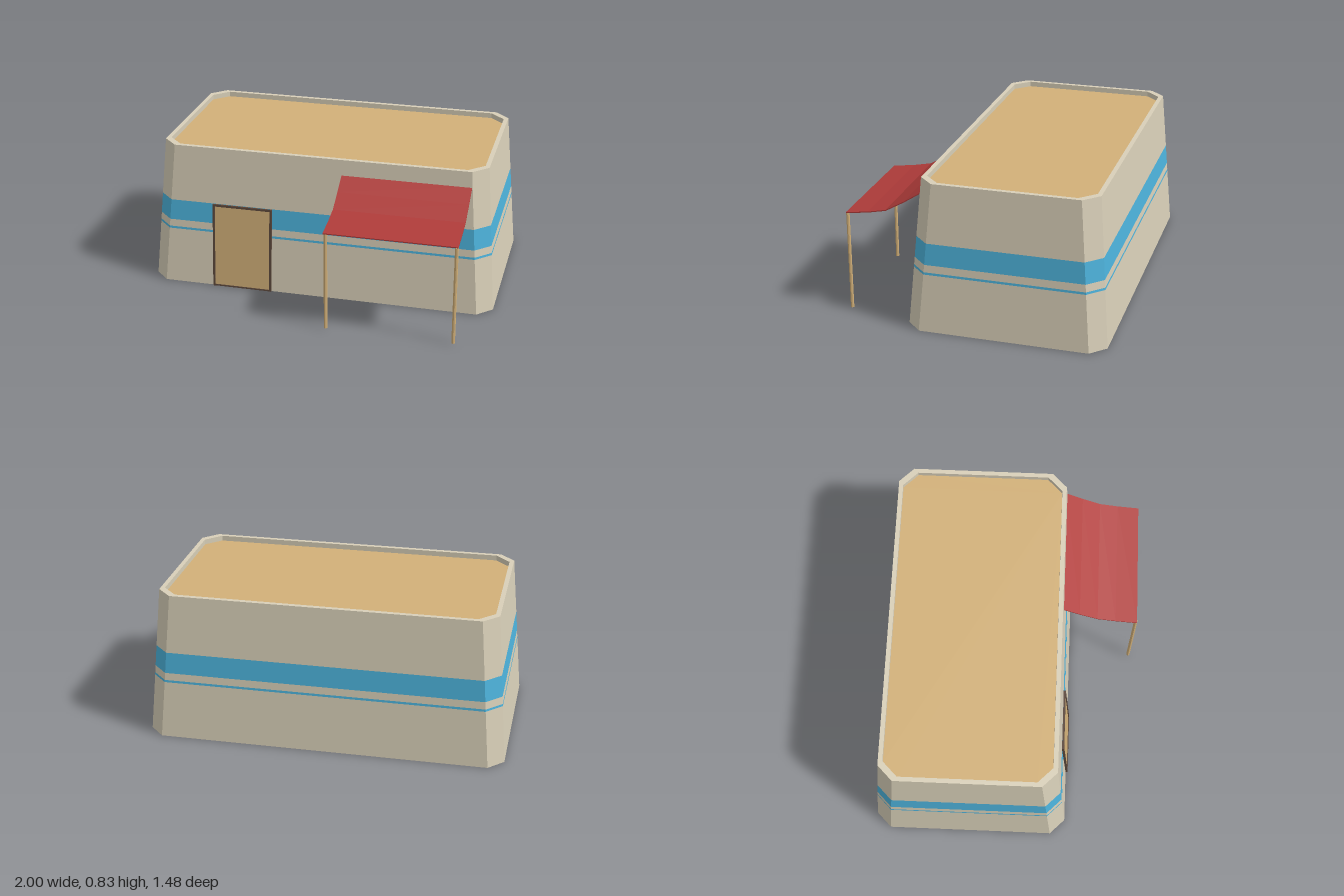
import * as THREE from 'three';

const mat = (name, color) => {
  const m = new THREE.MeshStandardMaterial({ color });
  m.name = name;
  return m;
};

const HEIGHT = 0.83, TAPER = 0.066, CHAMFER = 0.083;
const HALF_X = 1, FRONT = 0.366, BACK = -0.738;

// Eight-sided chamfered outline of the building at height y, optionally inset
function ring(y, inset = 0, wallY = y) {
  const s = (TAPER * wallY) / HEIGHT + inset;
  const x = HALF_X - s, f = FRONT - s, b = BACK + s, c = CHAMFER;
  return [
    [x - c, f], [x, f - c], [x, b + c], [x - c, b],
    [-x + c, b], [-x, b + c], [-x, f - c], [-x + c, f],
  ].map(([px, pz]) => [px, y, pz]);
}

// Flat-faced surface through successive rings, with optional end caps
function loft(rings, capStart = false, capEnd = false) {
  const pos = [];
  const tri = (a, b, c) => pos.push(...a, ...b, ...c);
  for (let r = 0; r < rings.length - 1; r++) {
    const lo = rings[r], hi = rings[r + 1], n = lo.length;
    for (let i = 0; i < n; i++) {
      const j = (i + 1) % n;
      tri(lo[i], lo[j], hi[j]);
      tri(lo[i], hi[j], hi[i]);
    }
  }
  const first = rings[0], last = rings[rings.length - 1];
  for (let i = 1; i < first.length - 1; i++) {
    if (capStart) tri(first[0], first[i + 1], first[i]);
    if (capEnd) tri(last[0], last[i], last[i + 1]);
  }
  const g = new THREE.BufferGeometry();
  g.setAttribute('position', new THREE.Float32BufferAttribute(pos, 3));
  g.computeVertexNormals();
  return g;
}

export function createModel() {
  const wall = mat('plaster', 0xd8cfb8);
  const blue = mat('bluePaint', 0x4db3dc);
  const tan = mat('tanWood', 0xd2b078);
  const red = mat('redCloth', 0xb03c3a);
  const dark = mat('darkWood', 0x5c483c);

  const model = new THREE.Group();
  const add = (parent, name, geometry, material, x = 0, y = 0, z = 0) => {
    const mesh = new THREE.Mesh(geometry, material);
    mesh.name = name;
    mesh.position.set(x, y, z);
    parent.add(mesh);
    return mesh;
  };

  // Sloping walls, split into plaster and painted bands
  add(model, 'lowerWall', loft([ring(0), ring(0.325)], true), wall);
  add(model, 'thinStripe', loft([ring(0.325), ring(0.338)]), blue);
  add(model, 'middleWall', loft([ring(0.338), ring(0.38)]), wall);
  add(model, 'wideStripe', loft([ring(0.38), ring(0.5)]), blue);

  // Upper wall runs over the parapet and down to the sunken roof
  const roofY = HEIGHT - 0.03, rim = 0.025;
  add(model, 'upperWall', loft([
    ring(0.5), ring(HEIGHT), ring(HEIGHT, rim), ring(roofY, rim, HEIGHT),
  ]), wall);
  add(model, 'roof', loft([ring(roofY, rim, HEIGHT)], false, true), tan);

  // Door leaning with the front wall
  const door = new THREE.Group();
  door.name = 'door';
  door.position.set(-0.45, 0, FRONT);
  door.rotation.x = -Math.atan(TAPER / HEIGHT);
  model.add(door);
  const w = 0.35, h = 0.5, t = 0.012, d = 0.016;
  add(door, 'doorPanel', new THREE.BoxGeometry(w - t, h - t, 0.008), tan, 0, h / 2, 0.003);
  for (const s of [-1, 1]) {
    add(door, 'doorJamb', new THREE.BoxGeometry(t, h, d), dark, s * (w - t) / 2, h / 2, 0.004);
  }
  add(door, 'doorLintel', new THREE.BoxGeometry(w, t, d), dark, 0, h - t / 2, 0.004);
  add(door, 'doorSill', new THREE.BoxGeometry(w, 0.008, d), dark, 0, 0.005, 0.004);

  // Sagging cloth awning, extruded sideways from its profile
  const curve = [[0.3, 0.745], [0.4, 0.68], [0.505, 0.62], [0.61, 0.598], [0.735, 0.581]];
  const profile = new THREE.Shape([
    ...curve.map(([z, y]) => new THREE.Vector2(-z, y)),
    ...curve.slice().reverse().map(([z, y]) => new THREE.Vector2(-z, y - 0.006)),
  ]);
  const awning = new THREE.ExtrudeGeometry(profile, { depth: 0.73, bevelEnabled: false });
  awning.rotateY(Math.PI / 2);
  add(model, 'awning', awning, red, 0.125, 0, 0);

  // Awning posts
  for (const x of [0.139, 0.846]) {
    const post = new THREE.CylinderGeometry(0.01, 0.01, 0.568, 8).toNonIndexed();
    post.computeVertexNormals();
    add(model, 'awningPost', post, tan, x, 0.292, 0.728);
  }

  return model;
}
